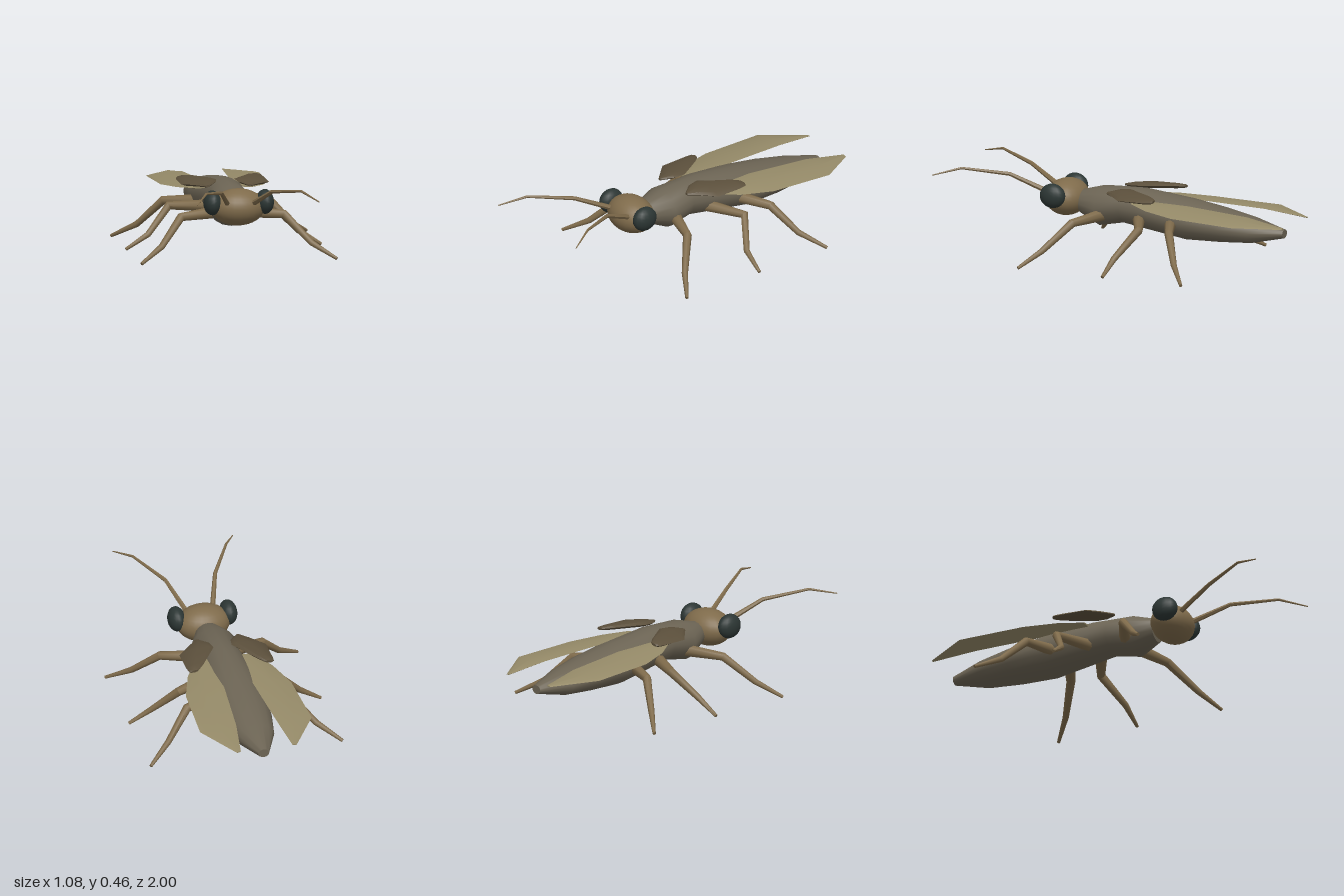
import * as THREE from 'three';
import { toCreasedNormals } from 'three/addons/utils/BufferGeometryUtils.js';

const paint = (color) => new THREE.MeshStandardMaterial({ color });
const brown = paint(0x7f6b4b), bodyGrey = paint(0x6c6454), dark = paint(0x5c503c);
const pale = paint(0x958a68), eyeDark = paint(0x2c3634);

// Skin a list of equal-sized rings and close both ends
function loft(rings, crease) {
  const n = rings[0].length, pos = [], index = [];
  rings.flat().forEach((p) => pos.push(p.x, p.y, p.z));
  for (let i = 0; i < rings.length - 1; i++) {
    for (let j = 0; j < n; j++) {
      const a = i * n + j, b = i * n + (j + 1) % n;
      index.push(a, b, a + n, b, b + n, a + n);
    }
  }
  const last = (rings.length - 1) * n;
  for (let j = 1; j < n - 1; j++) {
    index.push(0, j + 1, j, last, last + j, last + j + 1);
  }
  const geo = new THREE.BufferGeometry();
  geo.setAttribute('position', new THREE.Float32BufferAttribute(pos, 3));
  geo.setIndex(index);
  return toCreasedNormals(geo, crease);
}

// Oval ring in a plane of constant z, for lofts that run towards -z
function oval(z, cx, cy, rx, ry, sides, slope = 0) {
  return Array.from({ length: sides }, (_, j) => {
    const a = (j / sides) * Math.PI * 2, dx = Math.cos(a) * rx;
    return new THREE.Vector3(cx + dx, cy + dx * slope - Math.sin(a) * ry, z);
  });
}

// Jointed, tapering limb through points [x, y, z, radius]
function limb(points, sides) {
  const p = points.map((q) => new THREE.Vector3(q[0], q[1], q[2]));
  const rings = p.map((c, i) => {
    const t = new THREE.Vector3();
    if (i > 0) t.add(c.clone().sub(p[i - 1]).normalize());
    if (i < p.length - 1) t.add(p[i + 1].clone().sub(c).normalize());
    t.normalize();
    const u = new THREE.Vector3(0, 1, 0).cross(t).normalize();
    const v = t.clone().cross(u);
    return Array.from({ length: sides }, (_, j) => {
      const a = (j / sides) * Math.PI * 2;
      return c.clone().addScaledVector(u, Math.cos(a) * points[i][3])
        .addScaledVector(v, Math.sin(a) * points[i][3]);
    });
  });
  return loft(rings, 0.9);
}

// Wing blade from stations [z, inner x, outer x, inner y, outer y, thickness]
function blade(stations) {
  return loft(stations.map(([z, x0, x1, y0, y1, t]) =>
    oval(z, (x0 + x1) / 2, (y0 + y1) / 2, (x1 - x0) / 2, t / 2, 8, (y1 - y0) / (x1 - x0))), 0.6);
}

function add(parent, name, geometry, material) {
  const mesh = new THREE.Mesh(geometry, material);
  mesh.name = name;
  parent.add(mesh);
  return mesh;
}

export function createModel() {
  const model = new THREE.Group();
  model.name = 'insect';

  // Thorax and abdomen: [z, half width, top, bottom]
  const body = [
    [0.26, 0.07, 0.35, 0.22], [0.14, 0.125, 0.383, 0.165], [0, 0.108, 0.39, 0.193],
    [-0.1, 0.12, 0.392, 0.178], [-0.38, 0.148, 0.36, 0.14], [-0.58, 0.137, 0.328, 0.146],
    [-0.76, 0.105, 0.293, 0.157], [-0.94, 0.03, 0.246, 0.198],
  ].map(([z, w, top, bottom]) => oval(z, 0, (top + bottom) / 2, w, (top - bottom) / 2, 16));
  add(model, 'body', loft(body, 0.9), bodyGrey);

  const head = add(model, 'head', new THREE.SphereGeometry(1, 24, 16), brown);
  head.position.set(0, 0.302, 0.352);
  head.scale.set(0.147, 0.1, 0.113);

  for (const [label, sign] of [['left', 1], ['right', -1]]) {
    const side = new THREE.Group();
    side.name = label + 'Side';
    side.scale.x = sign;
    model.add(side);

    const eye = add(side, label + 'Eye', new THREE.SphereGeometry(1, 16, 12), eyeDark);
    eye.position.set(0.144, 0.331, 0.373);
    eye.scale.set(0.048, 0.067, 0.073);

    add(side, label + 'Antenna', limb([
      [0.07, 0.33, 0.425, 0.015], [0.138, 0.425, 0.63, 0.011],
      [0.26, 0.46, 0.86, 0.007], [0.333, 0.422, 1, 0.003],
    ], 6), brown);

    // Legs: z of the hip, knee, ankle and foot
    const legs = { front: [0.11, 0.19, 0.31, 0.395], middle: [-0.11, -0.205, -0.118, -0.107], hind: [-0.3, -0.385, -0.475, -0.575] };
    for (const [name, z] of Object.entries(legs)) {
      add(side, label + name[0].toUpperCase() + name.slice(1) + 'Leg', limb([
        [0.08, 0.238, z[0], 0.034], [0.283, 0.228, z[1], 0.024],
        [0.41, 0.088, z[2], 0.017], [0.533, 0.012, z[3], 0.009],
      ], 8), brown);
    }

    // Short hard forewing
    add(side, label + 'Forewing', blade([
      [0.06, 0.105, 0.125, 0.372, 0.37, 0.014], [0, 0.06, 0.182, 0.383, 0.37, 0.03],
      [-0.06, 0.05, 0.24, 0.388, 0.366, 0.036], [-0.21, 0.145, 0.24, 0.382, 0.368, 0.03],
      [-0.25, 0.178, 0.236, 0.378, 0.37, 0.02], [-0.258, 0.19, 0.225, 0.376, 0.371, 0.014],
    ]), dark);

    // Long folded hindwing
    add(side, label + 'Hindwing', blade([
      [-0.1, 0.09, 0.16, 0.342, 0.336, 0.01], [-0.22, 0.08, 0.235, 0.343, 0.325, 0.014],
      [-0.4, 0.08, 0.293, 0.338, 0.313, 0.014], [-0.77, 0.11, 0.31, 0.32, 0.302, 0.012],
      [-1, 0.143, 0.167, 0.289, 0.285, 0.006],
    ]), pale);
  }
  return model;
}
